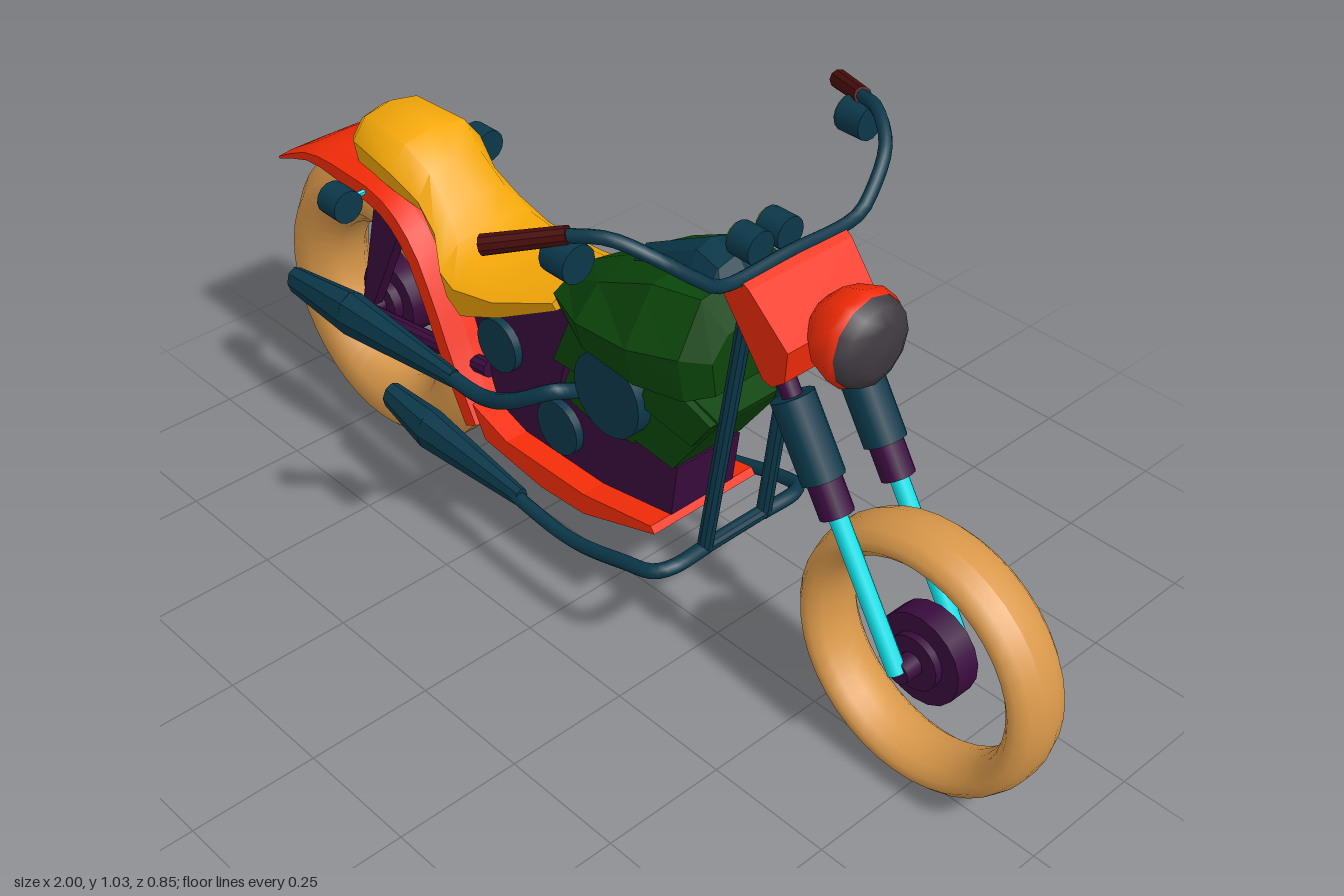
import * as THREE from 'three';
import { toCreasedNormals } from 'three/addons/utils/BufferGeometryUtils.js';

const COLORS = {
  tire: 0xd9984a, steel: 0x0b384a, red: 0xf52c08, seat: 0xf5a808, green: 0x0b450a,
  purple: 0x3a0b3e, chrome: 0x10e0e8, grip: 0x4a0d0d, lens: 0x3f3a40, signal: 0x4a8a10,
};
const V = (p) => new THREE.Vector3(...p);

export function createModel() {
  const model = new THREE.Group();
  model.name = 'motorcycle';
  const mats = {};
  const mat = (color, flat) => mats[color + flat] ??= new THREE.MeshStandardMaterial(
    { color: COLORS[color], flatShading: flat, side: THREE.DoubleSide });

  const add = (name, geo, color, flat = true) => {
    const mesh = new THREE.Mesh(geo, mat(color, flat));
    mesh.name = name;
    model.add(mesh);
    return mesh;
  };

  // cylinder between two points
  const rod = (name, a, b, ra, rb, color, seg = 10) => {
    const from = V(a), dir = V(b).sub(from);
    const mesh = add(name, new THREE.CylinderGeometry(rb, ra, dir.length(), seg), color, seg < 12);
    mesh.position.copy(from).addScaledVector(dir, 0.5);
    mesh.quaternion.setFromUnitVectors(new THREE.Vector3(0, 1, 0), dir.normalize());
    return mesh;
  };

  // round bar along a smooth path
  const bar = (name, pts, r, color) => add(name, new THREE.TubeGeometry(
    new THREE.CatmullRomCurve3(pts.map(V)), 40, r, 8), color, false);

  // side outline [x, y] given a thickness from z0 to z1
  const slab = (name, pts, z0, z1, color) => add(name, new THREE.ExtrudeGeometry(
    new THREE.Shape(pts.map(p => new THREE.Vector2(...p))),
    { depth: z1 - z0, bevelEnabled: false }).translate(0, 0, z0), color);

  // skin over closed cross-sections, with capped ends; edges sharper than crease stay hard
  const loft = (name, rings, color, crease = 0.1) => {
    const n = rings[0].length, index = [];
    for (let i = 0; i < rings.length - 1; i++) for (let j = 0; j < n; j++) {
      const a = i * n + j, b = i * n + (j + 1) % n;
      index.push(a, b, b + n, a, b + n, a + n);
    }
    const last = (rings.length - 1) * n;
    for (let j = 1; j < n - 1; j++) index.push(0, j + 1, j, last, last + j, last + j + 1);
    const geo = new THREE.BufferGeometry();
    geo.setAttribute('position', new THREE.Float32BufferAttribute(rings.flat(2), 3));
    geo.setIndex(index);
    return add(name, toCreasedNormals(geo, crease), color, false);
  };

  // mirrored ring: half profile of [y, z] running from top centre to bottom centre
  const mirrorRing = (x, half) => [...half, ...half.slice(1, -1).reverse().map(([y, z]) => [y, -z])]
    .map(([y, z]) => [x, y, z]);

  // tyres and stepped hubs
  const wheel = (name, x, y, R, tr, tz, sides, hubR, hubZ) => {
    const profile = [];
    const k = 1 / Math.cos(Math.PI / sides);
    for (let i = 0; i <= sides; i++) {
      const a = (i + 0.5) / sides * Math.PI * 2;
      profile.push(new THREE.Vector2(R + Math.cos(a) * tr * k, Math.sin(a) * tz * k));
    }
    add(name + 'Tire', new THREE.LatheGeometry(profile, 40).rotateX(Math.PI / 2), 'tire', false)
      .position.set(x, y, 0);
    for (const [part, r, z] of [['Hub', 1, 1], ['HubStep', 0.6, 1.6], ['Axle', 0.25, 3]])
      rod(name + part, [x, y, -hubZ * z], [x, y, hubZ * z], hubR * r, hubR * r, 'purple', 18);
  };
  wheel('rear', -0.683, 0.315, 0.243, 0.073, 0.075, 8, 0.083, 0.035);
  wheel('front', 0.738, 0.28, 0.225, 0.034, 0.06, 12, 0.088, 0.025);

  // rear fender: shell swept over the wheel and down to the belly, thinning to the tail
  const arc = new THREE.CatmullRomCurve3([[-0.93, 0.58, 0], [-0.82, 0.645, 0], [-0.7, 0.668, 0],
    [-0.56, 0.662, 0], [-0.46, 0.605, 0], [-0.39, 0.49, 0], [-0.34, 0.38, 0], [-0.275, 0.26, 0]].map(V));
  const fenderHalf = [[0, 0], [-0.004, 0.085], [-0.025, 0.122], [-0.06, 0.122], [-0.06, 0.112],
    [-0.028, 0.1], [-0.016, 0]];
  loft('rearFender', Array.from({ length: 17 }, (_, i) => {
    const p = arc.getPoint(i / 16), t = arc.getTangent(i / 16);
    const drop = Math.min(1, 0.15 + i / 6), wide = Math.min(1.02, 0.87 + i / 60);
    return mirrorRing(0, fenderHalf)
      .map(([, o, z]) => [p.x - t.y * o * drop, p.y + t.x * o * drop, z * wide]);
  }), 'red', 0.4);

  // belly pan
  slab('bellyPan', [[-0.3, 0.3], [-0.265, 0.235], [-0.1, 0.213], [0.02, 0.22], [0.21, 0.285],
    [0.2, 0.298], [0.02, 0.265], [-0.2, 0.265]], -0.128, 0.128, 'red');

  // engine block and cylinders
  slab('crankcase', [[-0.27, 0.262], [0.02, 0.262], [0.2, 0.292], [0.215, 0.41], [-0.1, 0.42],
    [-0.05, 0.605], [-0.1, 0.605], [-0.36, 0.5]], -0.078, 0.078, 'purple');
  slab('rearCylinder', [[-0.09, 0.42], [0.0, 0.62], [0.14, 0.605], [0.11, 0.41], [0, 0.4]], -0.085, 0.085, 'green');
  slab('rearCylinderHead', [[-0.09, 0.5], [-0.04, 0.615], [0.05, 0.61], [0.02, 0.5]], -0.1, 0.1, 'green');
  slab('frontCylinder', [[0.1, 0.42], [0.21, 0.41], [0.31, 0.55], [0.32, 0.57], [0.15, 0.62]], -0.085, 0.085, 'green');
  slab('frontCylinderHead', [[0.14, 0.52], [0.27, 0.5], [0.315, 0.565], [0.165, 0.615]], -0.1, 0.1, 'green');
  for (const [name, x, y, r, z] of [['airFilter', 0.07, 0.51, 0.085, 0.116],
    ['gearCover', -0.26, 0.44, 0.056, 0.095], ['clutchCover', -0.09, 0.34, 0.056, 0.095]])
    rod(name, [x, y, -z], [x, y, z], r, r, 'steel', 20);

  // fuel tank and its console
  const body = ([x, yb, ym, yt, w]) => mirrorRing(x,
    [[yt, 0], [yt - 0.012, w * 0.66], [ym, w], [yb, w * 0.9], [yb, 0]]);
  loft('fuelTank', [[-0.085, 0.62, 0.645, 0.675, 0.1], [0.05, 0.62, 0.68, 0.75, 0.17],
    [0.19, 0.62, 0.7, 0.815, 0.182], [0.285, 0.62, 0.71, 0.82, 0.15],
    [0.32, 0.63, 0.7, 0.755, 0.105]].map(body), 'green');
  loft('tankConsole', [[0.05, 0.72, 0.74, 0.77, 0.035], [0.21, 0.77, 0.81, 0.855, 0.055],
    [0.27, 0.77, 0.8, 0.85, 0.07], [0.295, 0.76, 0.79, 0.81, 0.06]].map(body), 'steel');

  // stepped saddle
  loft('seat', [[-0.705, 0.665, 0.7, 0.745, 0.075], [-0.675, 0.66, 0.71, 0.765, 0.095],
    [-0.54, 0.655, 0.7, 0.762, 0.11], [-0.48, 0.635, 0.66, 0.72, 0.095], [-0.42, 0.575, 0.62, 0.668, 0.105],
    [-0.37, 0.51, 0.57, 0.625, 0.135], [-0.32, 0.495, 0.56, 0.612, 0.145], [-0.22, 0.535, 0.575, 0.615, 0.135],
    [-0.09, 0.6, 0.62, 0.648, 0.1]].map(body), 'seat', 0.8);

  // headlight, lens and a nacelle that narrows downward
  const nacelle = slab('headlightNacelle', [[0.345, 0.87], [0.39, 0.907], [0.41, 0.895], [0.49, 0.81],
    [0.48, 0.745], [0.45, 0.72], [0.43, 0.725]], -1, 1, 'red').geometry.attributes.position;
  for (let i = 0; i < nacelle.count; i++)
    nacelle.setZ(i, nacelle.getZ(i) * (0.1 + (nacelle.getY(i) - 0.72) * 0.11));
  const bowl = [[0, -0.08], [0.045, -0.07], [0.075, -0.04], [0.09, 0.005], [0.083, 0.02]];
  const dome = [[0.083, 0.018], [0.073, 0.04], [0.045, 0.055], [0, 0.06]];
  for (const [name, pts, color] of [['headlightShell', bowl, 'red'], ['headlightLens', dome, 'lens']]) {
    const lamp = add(name, new THREE.LatheGeometry(pts.map(p => new THREE.Vector2(...p)), 12), color, false);
    lamp.position.set(0.54, 0.818, 0);
    lamp.rotation.z = -Math.PI / 2;
  }
  rod('steeringNeck', [0.28, 0.75, 0], [0.4, 0.85, 0], 0.035, 0.035, 'purple');

  // handlebar
  const halfBar = [[0.22, 1.003, 0.34], [0.29, 1.013, 0.305], [0.35, 0.985, 0.26], [0.378, 0.935, 0.2],
    [0.385, 0.908, 0.16]];
  bar('handlebar', [...halfBar, [0.385, 0.906, 0],
    ...halfBar.map(([x, y, z]) => [x, y, -z]).reverse()], 0.012, 'steel');

  // round instrument with a coloured face to the rear
  const pod = (name, x, y, z, r, len) => {
    rod(name, [x - len / 2, y, z], [x + len / 2, y, z], r, r, 'steel', 14);
    rod(name + 'Face', [x - len / 2 - 0.004, y, z], [x - len / 2, y, z], r * 0.9, r * 0.9, 'signal', 14);
  };

  for (const s of [1, -1]) {
    // fork leg
    const fork = (y) => [0.738 - (y - 0.278) * 0.62, y, s * 0.075];
    rod('forkTube', fork(0.28), fork(0.55), 0.017, 0.017, 'chrome', 12);
    rod('forkSeal', fork(0.525), fork(0.595), 0.031, 0.031, 'purple', 12);
    rod('forkCover', fork(0.58), fork(0.705), 0.039, 0.039, 'steel', 12);
    rod('forkTop', fork(0.7), fork(0.86), 0.018, 0.018, 'purple', 12);

    // grips and pods
    rod('grip', [0.11, 0.965, s * 0.41], [0.23, 1.006, s * 0.335], 0.018, 0.016, 'grip');
    pod('controlPod', 0.225, 0.962, s * 0.335, 0.034, 0.055);
    pod('gauge', 0.328, 0.91, s * 0.034, 0.031, 0.05);
    pod('turnSignal', -0.62, 0.63, s * 0.175, 0.034, 0.055);

    // frame down tube, rear strut and swing arm
    rod('downTube', [0.285, 0.275, s * 0.075], [0.36, 0.83, s * 0.065], 0.015, 0.015, 'steel');
    slab('rearStrut', [[-0.61, 0.6], [-0.52, 0.6], [-0.64, 0.35], [-0.68, 0.32]],
      s * 0.092 - 0.012, s * 0.092 + 0.012, 'purple');
    rod('swingArm', [-0.67, 0.315, s * 0.09], [-0.3, 0.36, s * 0.08], 0.018, 0.018, 'purple');

    // exhausts, with mufflers flattened sideways
    bar('upperExhaust', [[-0.045, 0.445, s * 0.085], [-0.055, 0.46, s * 0.13], [-0.13, 0.415, s * 0.16],
      [-0.22, 0.375, s * 0.162], [-0.34, 0.37, s * 0.16]], 0.016, 'steel');
    bar('lowerExhaust', [[0.285, 0.272, s * 0.07], [0.285, 0.272, s * 0.155], [0.265, 0.265, s * 0.182],
      [0.2, 0.25, s * 0.19], [0.05, 0.212, s * 0.188], [-0.16, 0.215, s * 0.178]], 0.014, 'steel');
    for (const [name, inlet, middle, tip, r] of [
      ['upperMuffler', [-0.31, 0.37, s * 0.16], [-0.63, 0.363, s * 0.162], [-0.82, 0.355, s * 0.164], 0.05],
      ['lowerMuffler', [-0.1, 0.215, s * 0.178], [-0.38, 0.22, s * 0.172], [-0.505, 0.235, s * 0.17], 0.046]]) {
      rod(name, inlet, middle, 0.02, r, 'steel', 8).scale.z = 0.75;
      rod(name + 'Tip', middle, tip, r, 0.03, 'steel', 8).scale.z = 0.75;
    }
  }
  rod('frameCrossTube', [0.285, 0.273, -0.08], [0.285, 0.273, 0.08], 0.014, 0.014, 'steel');
  rod('signalRod', [-0.62, 0.63, -0.17], [-0.62, 0.63, 0.17], 0.006, 0.006, 'chrome', 6);
  rod('forkYoke', [0.44, 0.76, -0.075], [0.44, 0.76, 0.075], 0.02, 0.02, 'purple');
  return model;
}
